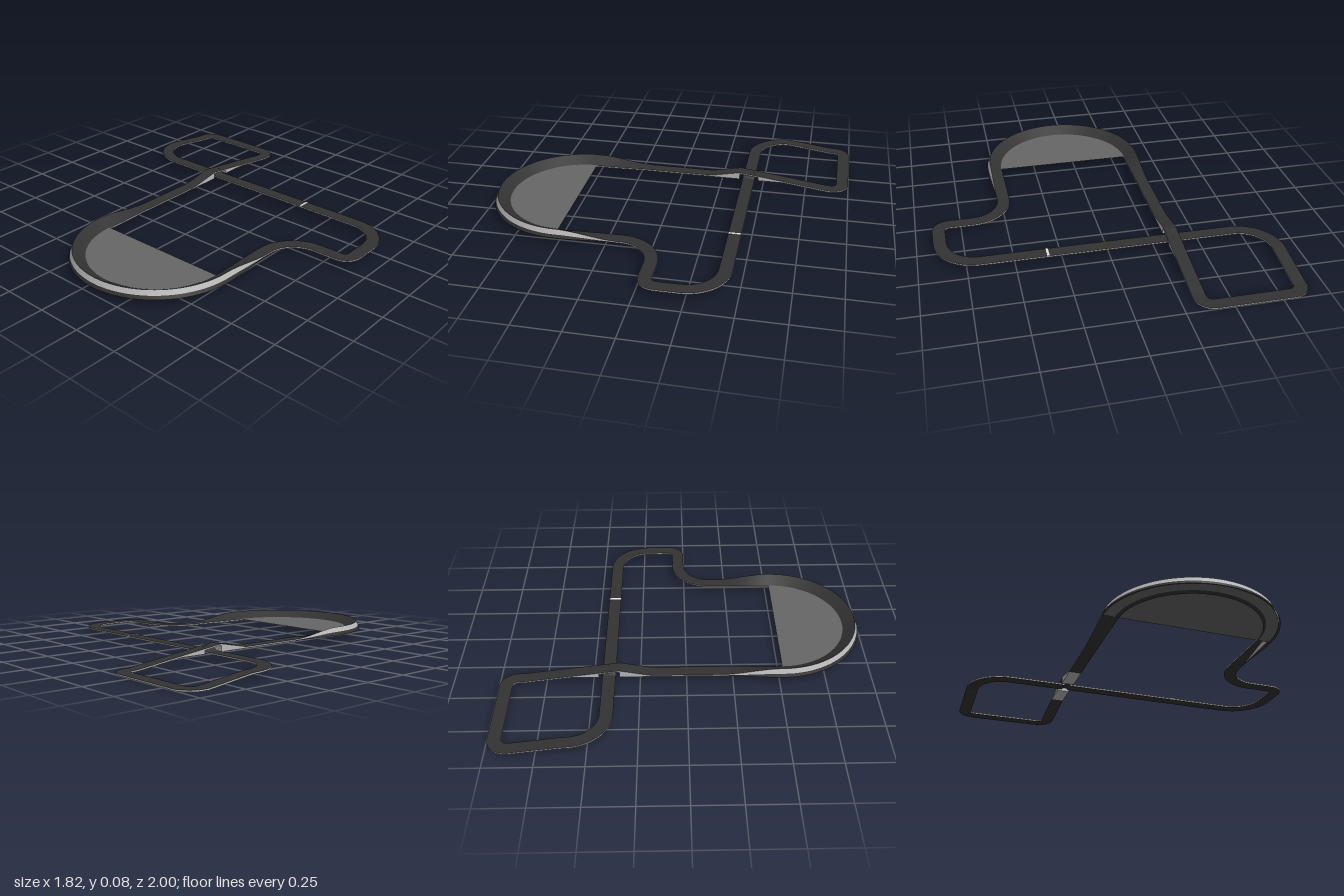
import * as THREE from 'three';

const mat = (name, color, side = THREE.FrontSide) => {
  const m = new THREE.MeshStandardMaterial({ color, side });
  m.name = name;
  return m;
};

const HALF = 0.035, THICK = 0.008, LEVEL = 0.043;

// Plan corners of the circuit: x, z, fillet radius
const CORNERS = [
  [0.875, -0.415, 0.195], [0.875, -0.035, 0.06], [0.49, -0.035, 0.195],
  [0.49, 0.94, 0.42], [-0.35, 0.94, 0.42],
  [-0.35, -0.965, 0.065], [-0.877, -0.965, 0.065], [-0.877, -0.415, 0.195],
];

// Piecewise linear lookup through [z, y] keys
function lookup(keys, z) {
  if (z >= keys[0][0]) return keys[0][1];
  for (let i = 1; i < keys.length; i++) {
    const [z0, y0] = keys[i - 1], [z1, y1] = keys[i];
    if (z >= z1) return y0 + (y1 - y0) * (z - z0) / (z1 - z0);
  }
  return keys[keys.length - 1][1];
}
const RAMP = [[-0.62, LEVEL], [-0.88, THICK]];
const BRIDGE = [[-0.19, LEVEL], [-0.36, 0.077], ...RAMP];

// Closed centre line with left-hand direction, height and banking at each station
function makeStations() {
  const out = [];
  const add = (x, z, tx, tz) => {
    const onBridge = Math.abs(x + 0.35) < 0.01 && z < 0;
    out.push({
      x, z, lx: tz, lz: -tx,
      y: lookup(onBridge ? BRIDGE : RAMP, z),
      bank: THREE.MathUtils.smoothstep(z, 0.18, 0.52),
    });
  };
  const pts = CORNERS.map(([x, z]) => new THREE.Vector2(x, z));
  const n = pts.length;
  for (let i = 0; i < n; i++) {
    const p = pts[i], r = CORNERS[i][2];
    const next = pts[(i + 1) % n], rNext = CORNERS[(i + 1) % n][2];
    const a = p.clone().sub(pts[(i + n - 1) % n]).normalize();
    const b = next.clone().sub(p).normalize();
    // rounded corner
    const c = p.clone().addScaledVector(a, -r).addScaledVector(b, r);
    const steps = r > 0.3 ? 24 : 12;
    for (let k = 0; k <= steps; k++) {
      const t = k / steps * Math.PI / 2, s = Math.sin(t), q = Math.cos(t);
      add(c.x + r * (a.x * s - b.x * q), c.y + r * (a.y * s - b.y * q),
        a.x * q + b.x * s, a.y * q + b.y * s);
    }
    // straight to the next corner
    const from = p.clone().addScaledVector(b, r), to = next.clone().addScaledVector(b, -rNext);
    const m = Math.ceil(from.distanceTo(to) / 0.02);
    for (let k = 1; k < m; k++) {
      const s = from.clone().lerp(to, k / m);
      add(s.x, s.y, b.x, b.y);
    }
  }
  return out;
}

// Surface between two rails; it faces up when the first rail is on the left
function strip(name, stations, railA, railB, material, closed) {
  const pos = [], index = [];
  const list = closed ? [...stations, stations[0]] : stations;
  list.forEach((s, i) => {
    for (const rail of [railA, railB]) {
      const [off, y] = rail(s);
      pos.push(s.x + s.lx * off, y, s.z + s.lz * off);
    }
    if (i) {
      const k = 2 * i - 2;
      index.push(k, k + 1, k + 2, k + 1, k + 3, k + 2);
    }
  });
  const g = new THREE.BufferGeometry();
  g.setAttribute('position', new THREE.Float32BufferAttribute(pos, 3));
  g.setIndex(index);
  g.computeVertexNormals();
  const mesh = new THREE.Mesh(g, material);
  mesh.name = name;
  return mesh;
}

export function createModel() {
  const model = new THREE.Group();
  model.name = 'circuit';
  const asphalt = mat('asphalt', 0x333333);
  const darkBase = mat('darkBase', 0x333333, THREE.DoubleSide);
  const concrete = mat('concrete', 0xb8b8b8, THREE.DoubleSide);
  const infill = mat('infill', 0x666666, THREE.DoubleSide);
  const white = mat('linePaint', 0xe8e8e8);
  const stations = makeStations();

  // Road slab, raised on its outer edge round the banked bend
  const topL = s => [HALF, s.y + 0.037 * s.bank];
  const topR = s => [-HALF, s.y - 0.005 * s.bank];
  const under = rail => s => { const [o, y] = rail(s); return [o, y - THICK]; };
  const road = new THREE.Group();
  road.name = 'road';
  road.add(
    strip('roadSurface', stations, topL, topR, asphalt, true),
    strip('roadUnderside', stations, under(topR), under(topL), asphalt, true),
    strip('roadLeftEdge', stations, under(topL), topL, concrete, true),
    strip('roadRightEdge', stations, topR, under(topR), concrete, true),
  );
  model.add(road);

  // Sloping wall behind the banking
  const banked = stations.filter(s => s.bank > 0);
  const mid = s => [HALF + 0.012 * s.bank, LEVEL - THICK + (0.045 * s.bank + THICK) * 0.35];
  const foot = s => [HALF + 0.02 * s.bank, LEVEL - THICK];
  model.add(
    strip('bankWall', banked, mid, topL, concrete, false),
    strip('bankFoot', banked, foot, mid, darkBase, false),
  );

  // Flat half-round ground inside the bend
  const ground = new THREE.CircleGeometry(0.465, 64, Math.PI, Math.PI);
  ground.rotateX(-Math.PI / 2);
  const bendGround = new THREE.Mesh(ground, infill);
  bendGround.name = 'bendGround';
  bendGround.position.set(0.07, 0.04, 0.52);
  model.add(bendGround);

  // Solid ramps on both sides of the underpass, drawn as [z, y] profiles
  const ramps = {
    southRamp: [[-0.19, 0.035], [-0.36, 0.035], [-0.36, 0.07]],
    northRamp: [[-0.47, 0.035], [-0.62, 0.035], [-0.47, 0.056]],
  };
  for (const [name, profile] of Object.entries(ramps)) {
    const shape = new THREE.Shape(profile.map(p => new THREE.Vector2(...p)));
    const g = new THREE.ExtrudeGeometry(shape, { depth: 2 * HALF, bevelEnabled: false });
    g.rotateY(-Math.PI / 2).translate(-0.35 + HALF, 0, 0);
    const ramp = new THREE.Mesh(g, concrete);
    ramp.name = name;
    model.add(ramp);
  }

  // Start line
  const line = new THREE.Mesh(new THREE.BoxGeometry(0.013, 0.003, 2 * HALF), white);
  line.name = 'startLine';
  line.position.set(0.327, LEVEL + 0.0005, -0.415);
  model.add(line);

  return model;
}
